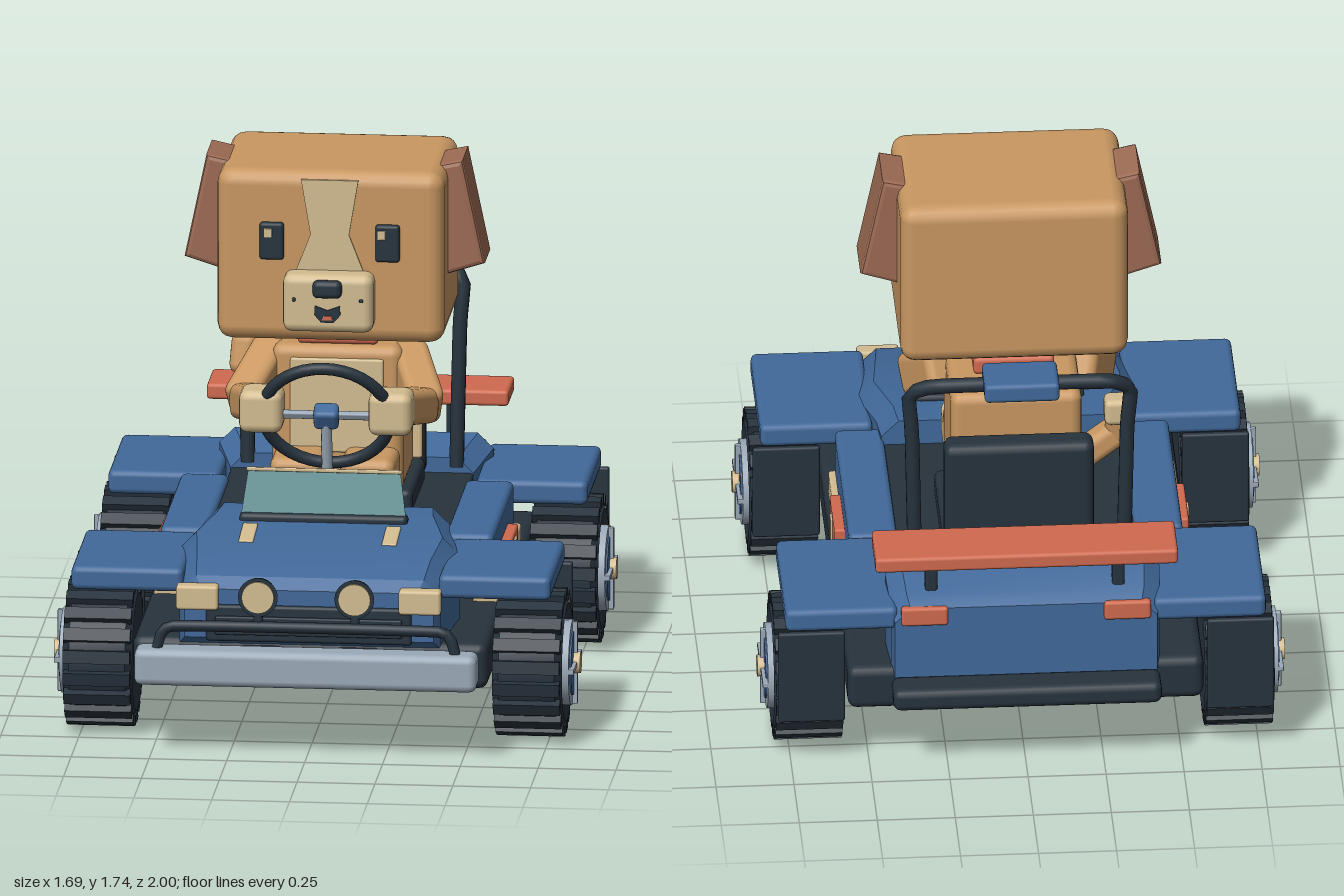
import * as THREE from 'three';
import { toCreasedNormals } from 'three/addons/utils/BufferGeometryUtils.js';
import { RoundedBoxGeometry } from 'three/addons/geometries/RoundedBoxGeometry.js';

const mat = (name, color, side = THREE.FrontSide) => {
  const m = new THREE.MeshStandardMaterial({ color, side });
  m.name = name;
  return m;
};

export function createModel() {
  const root = new THREE.Group();
  root.name = 'dogInBuggy';
  const blue = mat('blue paint', 0x41699a), black = mat('charcoal rubber', 0x27333d);
  const tan = mat('cream', 0xd3bc90), fur = mat('golden fur', 0xc99862);
  const brown = mat('brown ear', 0x9d6b54), red = mat('coral red', 0xcf6a4f);
  const grey = mat('light metal', 0x9ba9b8), glass = mat('teal glass', 0x6a989c, THREE.DoubleSide);

  const add = (name, geo, m, parent = root) => {
    const mesh = new THREE.Mesh(geo, m);
    mesh.name = name;
    parent.add(mesh);
    return mesh;
  };
  // Rounded box given by its extents on each axis
  const box = (name, m, [x0, x1], [y0, y1], [z0, z1], r = 0.01, parent = root) => {
    const w = x1 - x0, h = y1 - y0, d = z1 - z0;
    const mesh = add(name, new RoundedBoxGeometry(w, h, d, 2, Math.min(r, Math.min(w, h, d) * 0.45)), m, parent);
    mesh.position.set((x0 + x1) / 2, (y0 + y1) / 2, (z0 + z1) / 2);
    return mesh;
  };
  // The same box on both sides of the centre line
  const pair = (name, m, [x0, x1], y, z, r) => {
    box(name, m, [x0, x1], y, z, r);
    box(name, m, [-x1, -x0], y, z, r);
  };
  const tube = (name, m, pts, r) => add(name, new THREE.TubeGeometry(
    new THREE.CatmullRomCurve3(pts.map((p) => new THREE.Vector3(...p)), false, 'catmullrom', 0.15), 40, r, 10), m);
  // Rounded limb running from a to b
  const limb = (name, m, a, b, w, h, r = 0.03) => {
    const A = new THREE.Vector3(...a), B = new THREE.Vector3(...b);
    const mesh = add(name, new RoundedBoxGeometry(w, h, A.distanceTo(B), 2, r), m);
    mesh.position.copy(A).lerp(B, 0.5);
    mesh.lookAt(B);
    return mesh;
  };
  // Body shell lofted through sections [z, halfWidth, top, bottom], back to front
  const shell = (name, sections, c) => {
    const pos = [], idx = [], n = 6, last = (sections.length - 1) * n;
    for (const [z, w, t, b] of sections)
      for (const [x, y] of [[-w, b], [w, b], [w, t - c], [w - c, t], [c - w, t], [-w, t - c]]) pos.push(x, y, z);
    for (let i = 0; i < last; i += n)
      for (let j = 0; j < n; j++) {
        const k = (j + 1) % n;
        idx.push(i + j, i + k, i + n + k, i + j, i + n + k, i + n + j);
      }
    for (let j = 1; j < n - 1; j++) idx.push(0, j + 1, j, last, last + j, last + j + 1);
    const g = new THREE.BufferGeometry();
    g.setAttribute('position', new THREE.Float32BufferAttribute(pos, 3));
    g.setIndex(idx);
    return add(name, toCreasedNormals(g, 0.45), blue);
  };
  // Flat plate from an outline, facing +z
  const plate = (name, m, pts, z, depth = 0.008) => {
    const g = new THREE.ExtrudeGeometry(new THREE.Shape(pts.map((p) => new THREE.Vector2(...p))), { depth, bevelEnabled: false });
    const mesh = add(name, g, m);
    mesh.position.z = z;
    return mesh;
  };

  // Chassis and bodywork
  box('chassis', black, [-0.57, 0.57], [0.21, 0.36], [-0.9, 0.83], 0.03);
  box('cabinFloor', black, [-0.39, 0.39], [0.34, 0.56], [-0.6, 0.24], 0.01);
  shell('hood', [[0.2, 0.39, 0.645, 0.33], [0.3, 0.4, 0.645, 0.33], [0.5, 0.45, 0.625, 0.33],
    [0.7, 0.43, 0.6, 0.33], [0.82, 0.42, 0.565, 0.34], [0.855, 0.4, 0.53, 0.37]], 0.055);
  shell('rearDeck', [[-0.91, 0.42, 0.58, 0.33], [-0.87, 0.43, 0.61, 0.33], [-0.72, 0.44, 0.655, 0.33],
    [-0.57, 0.39, 0.61, 0.33]], 0.05);
  pair('sidePanel', blue, [0.38, 0.535], [0.42, 0.58], [-0.42, 0.28], 0.02);
  pair('sideStep', tan, [0.47, 0.555], [0.35, 0.43], [-0.46, 0.28], 0.01);
  pair('sideBox', red, [0.5, 0.568], [0.37, 0.49], [-0.22, 0.015], 0.008);
  pair('sideBoxLatch', tan, [0.56, 0.575], [0.395, 0.475], [-0.122, -0.083], 0.004);
  for (const [z0, z1] of [[0.31, 0.8], [-0.9, -0.42]]) {
    pair('fender', blue, [0.41, 0.77], [0.5, 0.578], [z0, z1], 0.02);
    pair('mudFlap', black, [0.58, 0.795], [0.18, 0.505], [z0 - 0.015, z0 + 0.008], 0.008);
  }
  for (const s of [-1, 1]) box('hoodVent', tan, [s * 0.23 - 0.024, s * 0.23 + 0.024], [0.606, 0.63], [0.42, 0.58], 0.005).rotation.x = 0.12;

  // Front end
  box('grille', black, [-0.33, 0.33], [0.36, 0.48], [0.83, 0.868], 0.01);
  for (const y of [0.385, 0.425]) box('grilleSlat', black, [-0.3, 0.3], [y, y + 0.02], [0.86, 0.878], 0.005);
  box('frontBumper', grey, [-0.55, 0.55], [0.24, 0.36], [0.89, 1], 0.025);
  pair('bumperBracket', black, [0.09, 0.22], [0.27, 0.34], [0.8, 0.94]);
  tube('bullBar', black, [[-0.48, 0.35, 0.95], [-0.43, 0.43, 0.95], [0.43, 0.43, 0.95], [0.48, 0.35, 0.95]], 0.018);
  pair('headlamp', tan, [0.29, 0.425], [0.465, 0.545], [0.83, 0.885]);
  for (const s of [-1, 1]) {
    const rim = add('spotlight', new THREE.CylinderGeometry(0.064, 0.055, 0.04, 24), black);
    rim.position.set(s * 0.155, 0.53, 0.93);
    const lens = add('spotlightLens', new THREE.CylinderGeometry(0.052, 0.052, 0.008, 24), tan);
    lens.position.set(s * 0.155, 0.53, 0.953);
    rim.rotation.x = lens.rotation.x = Math.PI / 2;
    box('spotlightStand', black, [s * 0.155 - 0.015, s * 0.155 + 0.015], [0.43, 0.5], [0.92, 0.95]);
  }

  // Windscreen
  box('windscreenBase', black, [-0.27, 0.27], [0.62, 0.66], [0.33, 0.39], 0.015);
  const screen = plate('windscreen', glass, [[-0.265, 0], [0.265, 0], [0.245, 0.145], [-0.245, 0.145]], 0.37, 0.004);
  screen.position.y = 0.65;
  screen.rotation.x = -0.2;
  box('windscreenTrim', tan, [-0.25, 0.25], [0.79, 0.802], [0.335, 0.348], 0.004);

  // Rear end
  box('rearBumper', black, [-0.43, 0.43], [0.25, 0.325], [-1, -0.88], 0.025);
  pair('tailLamp', red, [0.25, 0.4], [0.52, 0.585], [-0.92, -0.89]);
  box('spoiler', red, [-0.485, 0.485], [0.735, 0.787], [-0.95, -0.75], 0.012);
  pair('spoilerPost', black, [0.28, 0.32], [0.56, 0.74], [-0.855, -0.8]);
  const half = [[0.335, 0.58, -0.58], [0.345, 1.05, -0.59], [0.355, 1.19, -0.6], [0.28, 1.245, -0.645]];
  tube('rollBar', black, [...half, ...half.map(([x, y, z]) => [-x, y, z]).reverse()], 0.024);
  box('rollBarPad', blue, [-0.12, 0.12], [1.22, 1.285], [-0.73, -0.565], 0.015);

  // Seat
  box('seatBack', black, [-0.24, 0.24], [0.56, 0.99], [-0.6, -0.5], 0.03);
  box('seatCushion', black, [-0.24, 0.24], [0.54, 0.625], [-0.52, -0.08], 0.02);
  pair('seatBolster', tan, [0.2, 0.235], [0.63, 0.96], [-0.505, -0.47]);

  // Wheels
  const profile = [[0, -0.1], [0.14, -0.1], [0.19, -0.112], [0.217, -0.09], [0.217, 0.09], [0.19, 0.112], [0.14, 0.1], [0, 0.1]];
  const tyreGeo = toCreasedNormals(new THREE.LatheGeometry(profile.map((p) => new THREE.Vector2(...p)), 40), 0.6);
  for (const s of [-1, 1]) for (const z of [0.56, -0.64]) {
    const wheel = new THREE.Group();
    wheel.name = 'wheel';
    wheel.position.set(s * 0.69, 0.24, z);
    wheel.rotation.z = -s * Math.PI / 2;
    root.add(wheel);
    add('tyre', tyreGeo, black, wheel);
    for (let i = 0; i < 20; i++) {
      const a = (i + 0.5) * Math.PI / 10;
      const lug = add('treadLug', new THREE.BoxGeometry(0.032, 0.215, 0.042), black, wheel);
      lug.position.set(Math.cos(a) * 0.222, 0, Math.sin(a) * 0.222);
      lug.rotation.y = -a;
    }
    const disc = (name, m, r, top) => {
      add(name, new THREE.CylinderGeometry(r, r, 0.05, 32), m, wheel).position.y = top - 0.025;
    };
    disc('rim', grey, 0.138, 0.128);
    disc('hubPlate', blue, 0.105, 0.133);
    disc('hubCap', tan, 0.035, 0.155);
    box('spoke', grey, [-0.135, 0.135], [0.12, 0.145], [-0.009, 0.009], 0.003, wheel);
    box('spoke', grey, [-0.009, 0.009], [0.12, 0.145], [-0.135, 0.135], 0.003, wheel);
  }

  // Steering wheel
  const steering = new THREE.Group();
  steering.name = 'steeringWheel';
  steering.position.set(0, 0.96, 0.275);
  steering.rotation.x = 0.5;
  root.add(steering);
  add('steeringRim', new THREE.TorusGeometry(0.205, 0.02, 12, 40), black, steering);
  box('steeringHub', blue, [-0.04, 0.04], [-0.035, 0.035], [-0.03, 0.035], 0.015, steering);
  box('steeringSpoke', grey, [-0.2, 0.2], [-0.01, 0.015], [-0.01, 0.01], 0.005, steering);
  tube('steeringColumn', grey, [[0, 0.95, 0.285], [0, 0.62, 0.22]], 0.018);

  // Driver body
  box('torso', fur, [-0.21, 0.21], [0.61, 1.1], [-0.46, -0.07], 0.035);
  box('chestPatch', tan, [-0.15, 0.15], [0.75, 1.06], [-0.1, -0.061], 0.008);
  box('collar', red, [-0.13, 0.13], [1.1, 1.16], [-0.325, -0.09], 0.015);
  box('neck', fur, [-0.1, 0.1], [1.08, 1.2], [-0.3, -0.11], 0.02);
  for (const s of [-1, 1]) {
    limb('upperArm', fur, [s * 0.21, 1.05, -0.2], [s * 0.295, 0.92, 0.03], 0.12, 0.14);
    limb('forearm', fur, [s * 0.29, 0.93, -0.01], [s * 0.215, 0.985, 0.25], 0.11, 0.115);
  }
  pair('paw', tan, [0.138, 0.278], [0.907, 1.048], [0.2, 0.335], 0.03);
  pair('leg', fur, [0.025, 0.2], [0.62, 0.77], [-0.2, 0.11], 0.03);
  pair('foot', tan, [0.025, 0.2], [0.6, 0.717], [0.04, 0.21], 0.025);
  limb('tail', fur, [-0.17, 0.82, -0.42], [-0.34, 0.95, -0.42], 0.09, 0.09);
  limb('tailUpper', fur, [-0.335, 0.91, -0.42], [-0.325, 1.04, -0.445], 0.085, 0.085);
  box('tailTip', tan, [-0.36, -0.28], [0.99, 1.08], [-0.495, -0.415], 0.02);

  // Head and face
  box('head', fur, [-0.365, 0.365], [1.17, 1.735], [-0.375, 0.165], 0.05);
  plate('blaze', tan, [[-0.12, 1.38], [0.12, 1.38], [0.062, 1.53], [0.092, 1.71], [-0.092, 1.71], [-0.062, 1.53]], 0.163);
  box('muzzle', tan, [-0.145, 0.145], [1.222, 1.413], [0.14, 0.245], 0.03);
  box('nose', black, [-0.047, 0.047], [1.342, 1.4], [0.23, 0.272], 0.018);
  plate('mouth', black, [[-0.04, 1.315], [-0.042, 1.285], [-0.02, 1.26], [0.02, 1.26], [0.042, 1.285], [0.04, 1.315], [0, 1.3]], 0.242);
  plate('tongue', red, [[-0.018, 1.268], [0.018, 1.268], [0.012, 1.282], [-0.012, 1.282]], 0.246, 0.006);
  pair('whiskerDot', black, [0.102, 0.114], [1.327, 1.339], [0.24, 0.249], 0.003);
  pair('eye', black, [0.147, 0.225], [1.445, 1.567], [0.15, 0.183], 0.01);
  for (const x of [-0.21, 0.155]) box('eyeGlint', tan, [x, x + 0.026], [1.52, 1.55], [0.178, 0.187], 0.002);

  // Ears
  for (const s of [-1, 1]) {
    const pts = [[0.36, 1.38], [0.465, 1.415], [0.4, 1.727], [0.345, 1.715]].map(([x, y]) => new THREE.Vector2(s * x, y));
    const geo = new THREE.ExtrudeGeometry(new THREE.Shape(pts), { depth: 0.175, bevelThickness: 0.015, bevelSize: 0.015, bevelSegments: 2 });
    add('ear', geo, brown).position.z = -0.175;
  }
  return root;
}
